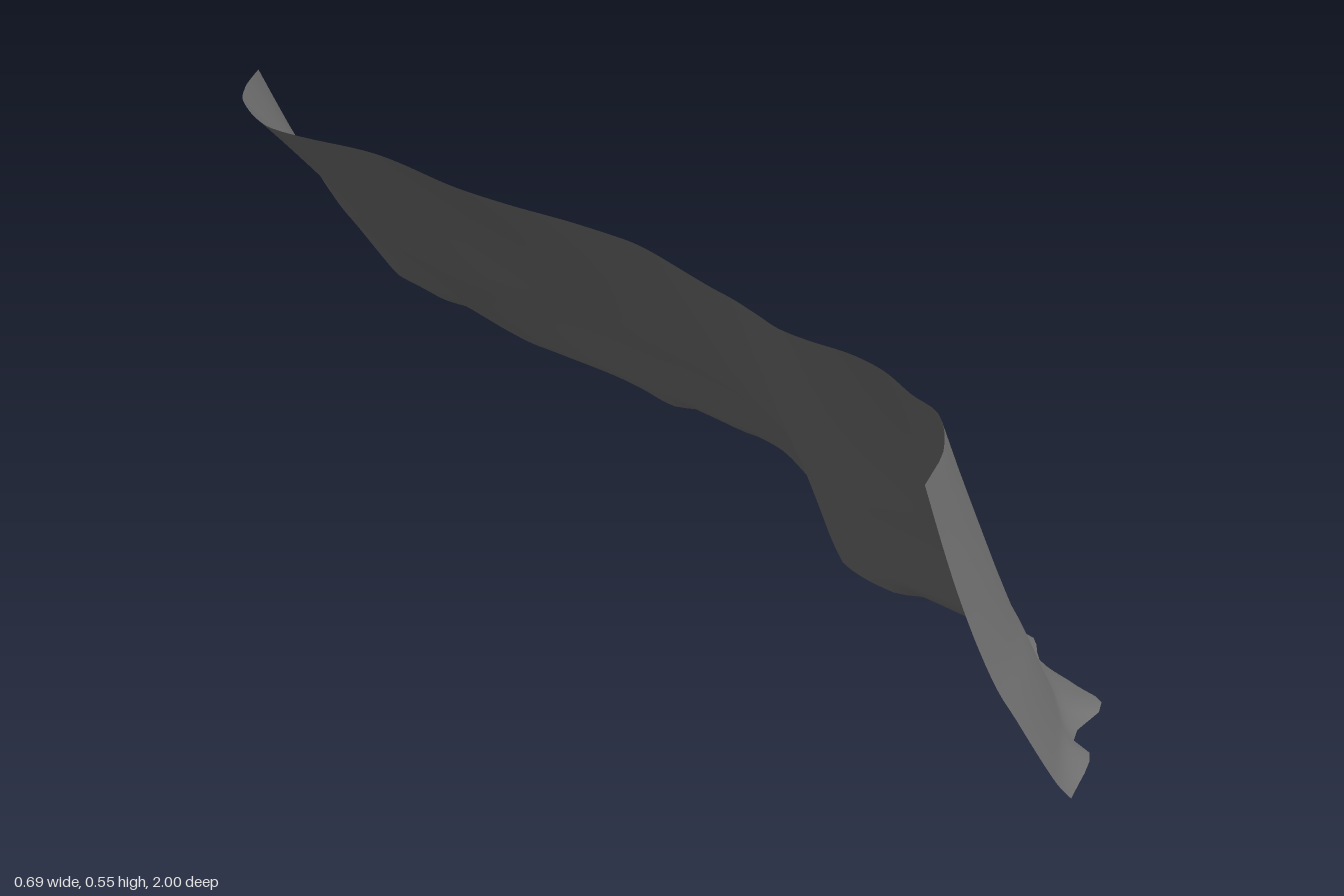
import * as THREE from 'three';

// [z, x] control points of the sheet's edges
const TOP = [
  [-1, -0.15], [-0.9, -0.21], [-0.8, -0.27], [-0.7, -0.32], [-0.57, -0.345], [-0.5, -0.315],
  [-0.4, -0.235], [-0.27, -0.17], [-0.2, -0.12], [-0.1, -0.04], [0, 0.012], [0.2, 0.018],
  [0.3, 0], [0.4, -0.03], [0.5, -0.05], [0.6, -0.065], [0.7, -0.09], [0.8, -0.125],
  [0.87, -0.14], [0.95, -0.2], [1, -0.27],
];
// Foot of the slope, just above the ground
const FOOT = [
  [-1, 0.135], [-0.8, 0.17], [-0.6, 0.185], [-0.4, 0.225], [-0.2, 0.265], [0, 0.295],
  [0.1, 0.275], [0.2, 0.24], [0.27, 0.185], [0.35, 0.15], [0.5, 0.165], [0.66, 0.2],
  [0.8, 0.165], [0.9, 0.1], [1, 0.005],
];
// Ragged rim on the ground
const RIM = [
  [-1, 0.155], [-0.9, 0.16], [-0.8, 0.195], [-0.7, 0.2], [-0.6, 0.2], [-0.53, 0.232],
  [-0.4, 0.25], [-0.27, 0.255], [-0.22, 0.29], [-0.1, 0.302], [-0.02, 0.342], [0.05, 0.308],
  [0.12, 0.3], [0.2, 0.27], [0.24, 0.245], [0.28, 0.2], [0.33, 0.155], [0.45, 0.16],
  [0.5, 0.197], [0.6, 0.21], [0.66, 0.246], [0.72, 0.21], [0.8, 0.207], [0.86, 0.198],
  [0.89, 0.115], [0.94, 0.1], [1, 0.01],
];
// How far the middle of the slope swells forward (or is hollowed, if negative), along z
const SWELL = [
  [-1, -0.01], [-0.85, -0.002], [-0.65, 0.005], [-0.5, 0.022], [-0.38, 0.042], [-0.27, 0.046],
  [-0.15, 0.026], [0, 0.002], [0.3, 0.004], [0.5, 0.018], [0.62, 0.024], [0.75, 0.014],
  [0.88, 0], [1, -0.018],
];
// Lean of the slope: [height fraction, fraction of the way from foot to top]
const LEAN = [[0, 0], [0.1, 0.115], [0.3, 0.33], [0.4, 0.445], [0.68, 0.71], [1, 1]];

// Smooth interpolation through control points
function sample(points, u) {
  let i = 0;
  while (i < points.length - 2 && u > points[i + 1][0]) i++;
  const slope = (a, b) => (points[b][1] - points[a][1]) / (points[b][0] - points[a][0]);
  const last = points.length - 1;
  const tangent = (k) => slope(Math.max(k - 1, 0), Math.min(k + 1, last));
  const [u0, v0] = points[i], [u1, v1] = points[i + 1];
  const w = u1 - u0, t = (u - u0) / w, t2 = t * t, t3 = t2 * t;
  return (2 * t3 - 3 * t2 + 1) * v0 + (t3 - 2 * t2 + t) * w * tangent(i)
    + (3 * t2 - 2 * t3) * v1 + (t3 - t2) * w * tangent(i + 1);
}

const topHeight = (z) => 0.4875 - 0.0575 * Math.cos((2 * Math.PI * (z - 0.14)) / 1.52);

function slopeGeometry(columns, rows) {
  const positions = [], index = [];
  for (let i = 0; i <= columns; i++) {
    const z = -1 + (2 * i) / columns;
    const top = sample(TOP, z), foot = sample(FOOT, z), rim = sample(RIM, z);
    const swell = sample(SWELL, z);
    for (let j = 0; j <= rows; j++) {
      const h = Math.pow(j / rows, 1.6); // finer rows near the rim
      const flare = Math.pow(Math.max(0, 1 - h / 0.07), 2);
      const x = foot + (top - foot) * sample(LEAN, h) + (rim - foot) * flare
        + swell * Math.sin(Math.PI * h);
      positions.push(x, topHeight(z) * h, z);
      if (i < columns && j < rows) {
        const a = i * (rows + 1) + j, b = a + rows + 1;
        index.push(a, a + 1, b, b, a + 1, b + 1);
      }
    }
  }
  const geometry = new THREE.BufferGeometry();
  geometry.setAttribute('position', new THREE.Float32BufferAttribute(positions, 3));
  geometry.setIndex(index);
  geometry.computeVertexNormals();
  return geometry;
}

export function createModel() {
  const group = new THREE.Group();
  group.name = 'cliff';
  const rock = new THREE.MeshStandardMaterial({ color: 0x707070, side: THREE.DoubleSide });
  rock.name = 'rock grey';
  // One thin open sheet leaning back from its ragged rim
  const slope = new THREE.Mesh(slopeGeometry(120, 30), rock);
  slope.name = 'rockSlope';
  group.add(slope);
  return group;
}
